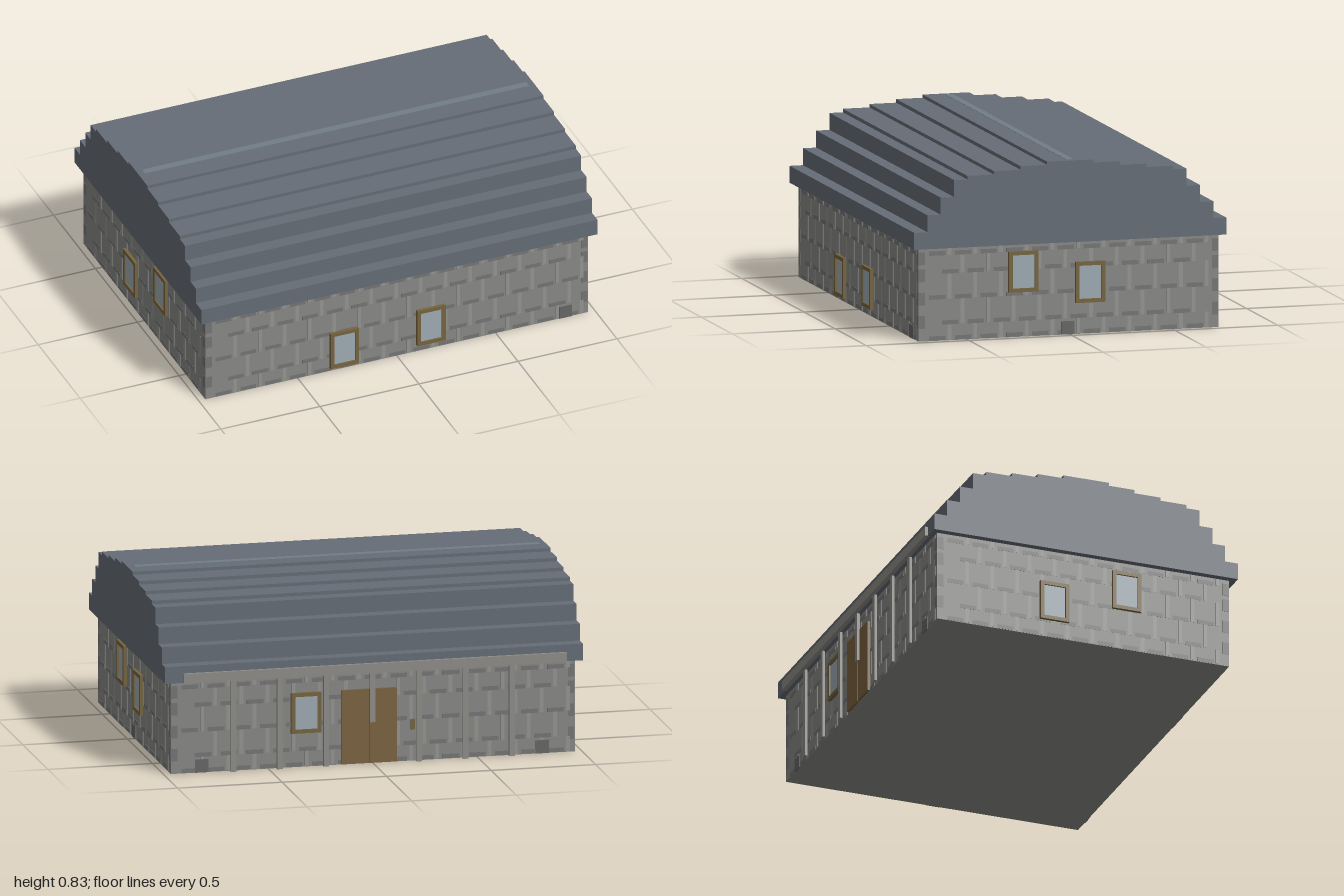
import * as THREE from 'three';
import { mergeGeometries } from 'three/addons/utils/BufferGeometryUtils.js';

const mat = (color) => new THREE.MeshStandardMaterial({ color });
const M = {
  wall: mat(0x888886), mortar: mat(0x949492), stone: mat(0x757575), plinth: mat(0x666666),
  roof: mat(0x656d76), ridge: mat(0x717d88), frame: mat(0x75643f), glass: mat(0x9fabb3),
  door: mat(0x7a6240), timber: mat(0x8f8d88),
};

// Box geometry given by its limits
function boxGeo(x0, x1, y0, y1, z0, z1) {
  return new THREE.BoxGeometry(x1 - x0, y1 - y0, z1 - z0)
    .translate((x0 + x1) / 2, (y0 + y1) / 2, (z0 + z1) / 2);
}

function add(parent, name, geometry, material) {
  const mesh = new THREE.Mesh(geometry, material);
  mesh.name = name;
  parent.add(mesh);
  return mesh;
}

// Window in wall space: x along the wall, z outward
function addWindow(wall, x0, y0) {
  const w = 0.143, h = 0.193, b = 0.018;
  const group = new THREE.Group();
  group.name = 'window';
  const frame = new THREE.Shape([
    new THREE.Vector2(0, 0), new THREE.Vector2(w, 0),
    new THREE.Vector2(w, h), new THREE.Vector2(0, h),
  ]);
  frame.holes.push(new THREE.Path([
    new THREE.Vector2(b, b), new THREE.Vector2(b, h - b),
    new THREE.Vector2(w - b, h - b), new THREE.Vector2(w - b, b),
  ]));
  add(group, 'windowFrame', new THREE.ExtrudeGeometry(frame, { depth: 0.016, bevelEnabled: false }), M.frame);
  add(group, 'windowGlass', boxGeo(b, w - b, b, h - b, 0, 0.008), M.glass);
  group.position.set(x0, y0, 0);
  wall.add(group);
}

// Stone courses: dark bed joints, light upright joints and corner blocks
function addStonework(wall, half) {
  const beds = [0.012, 0.085, 0.205, 0.325, 0.412];
  const pitch = 0.125, dark = [], light = [];
  beds.forEach((y, row) => {
    const shift = (row % 2) * pitch / 2;
    const top = row < beds.length - 1 ? beds[row + 1] - 0.01 : 0.438;
    for (let x = -half + 0.05 + shift; x < half - 0.1; x += pitch) {
      dark.push(boxGeo(x, x + 0.08, y - 0.01, y + 0.01, -0.002, 0.001));
      light.push(boxGeo(x + 0.09, x + 0.108, y - 0.008, top, -0.002, 0.0015));
    }
  });
  for (const s of [-1, 1]) {
    for (const y of [0.06, 0.17, 0.28, 0.36]) {
      const x = s * (half - 0.016);
      dark.push(boxGeo(x - 0.015, x + 0.015, y, y + 0.06, -0.002, 0.001));
    }
  }
  add(wall, 'bedJoints', mergeGeometries(dark), M.stone);
  add(wall, 'uprightJoints', mergeGeometries(light), M.mortar);
}

export function createModel() {
  const model = new THREE.Group();
  model.name = 'stoneHall';
  const X0 = -0.967, X1 = 0.965, Z0 = -0.723, Z1 = 0.735;
  const zMid = (Z0 + Z1) / 2;
  add(model, 'wallBlock', boxGeo(X0, X1, 0, 0.44, Z0, Z1), M.wall);

  // Wall faces: windows as [left edge, bottom], plinth blocks as left edge
  const faces = [
    { name: 'frontWall', pos: [0, 0, Z1], turn: 0, half: 0.965, windows: [[-0.34, 0.018], [0.098, 0.035]], blocks: [0.82] },
    { name: 'leftWall', pos: [X1, 0, zMid], turn: Math.PI / 2, half: 0.728, windows: [[-0.294, 0.212], [0.031, 0.148]], blocks: [-0.036] },
    { name: 'backWall', pos: [0, 0, Z0], turn: Math.PI, half: 0.965, windows: [[-0.392, 0.163]], blocks: [-0.85, 0.78] },
    { name: 'rightWall', pos: [X0, 0, zMid], turn: -Math.PI / 2, half: 0.728, windows: [[-0.218, 0.085], [0.143, 0.198]], blocks: [] },
  ];
  const walls = {};
  for (const f of faces) {
    const wall = new THREE.Group();
    wall.name = f.name;
    wall.position.set(...f.pos);
    wall.rotation.y = f.turn;
    addStonework(wall, f.half);
    f.windows.forEach(([x, y]) => addWindow(wall, x, y));
    f.blocks.forEach((x) => add(wall, 'plinthBlock', boxGeo(x, x + 0.063, 0, 0.063, -0.002, 0.003), M.plinth));
    model.add(wall);
    walls[f.name] = wall;
  }

  // Double door, latch and veranda posts on the back wall
  const back = walls.backWall;
  add(back, 'doorLeaf', boxGeo(-0.152, -0.022, 0.003, 0.357, 0, 0.014), M.door);
  add(back, 'doorLeaf', boxGeo(-0.018, 0.112, 0.003, 0.357, 0, 0.014), M.door);
  add(back, 'latchPlate', boxGeo(0.18, 0.2, 0.15, 0.2, 0, 0.012), M.frame);
  for (let i = -3; i <= 3; i++) {
    const x = i * 0.222 - 0.005;
    add(back, 'post', boxGeo(x - 0.013, x + 0.013, i === 0 ? 0.2 : 0, 0.44, 0.012, 0.025), M.timber);
  }
  add(back, 'lintel', boxGeo(-0.912, 0.92, 0.44, 0.485, 0.02, 0.042), M.timber);

  // Stepped vault roof: [bottom, top, back z, front z]
  const steps = [
    [0.44, 0.52, -0.75, 0.767], [0.52, 0.6, -0.687, 0.702],
    [0.6, 0.68, -0.622, 0.638], [0.68, 0.76, -0.557, 0.573],
    [0.76, 0.777, -0.491, 0.509], [0.777, 0.793, -0.362, 0.38],
    [0.793, 0.81, -0.234, 0.25], [0.81, 0.825, -0.105, 0.121],
  ];
  for (const [y0, y1, z0, z1] of steps) {
    add(model, 'roofStep', boxGeo(-1, 1, y0, y1, z0, z1), M.roof);
  }
  add(model, 'ridgeStrip', boxGeo(-0.97, 0.97, 0.82, 0.8265, -0.016, 0.02), M.ridge);
  return model;
}
